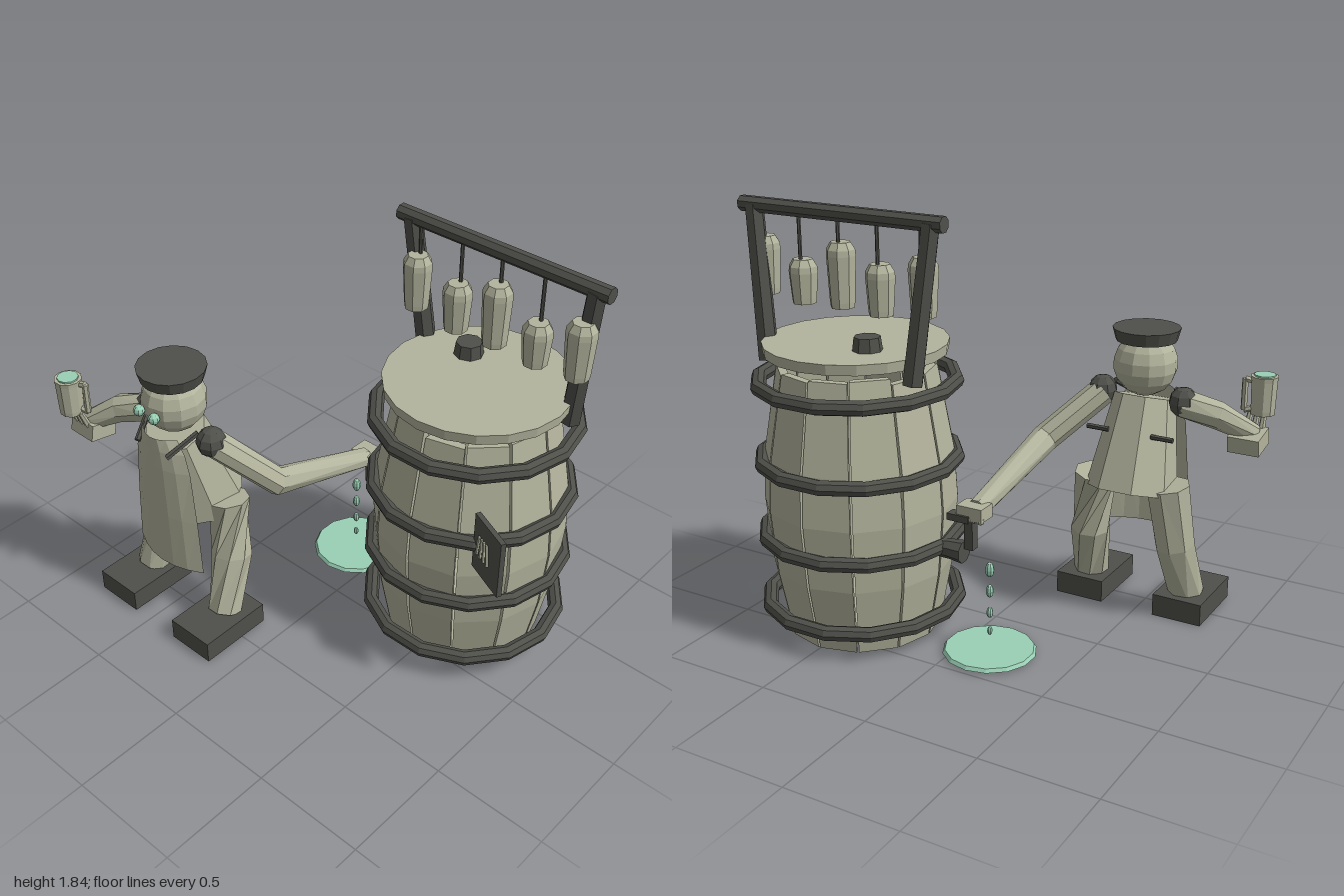
import * as THREE from 'three';

const V = (x, y, z) => new THREE.Vector3(x, y, z);
const mat = (name, color) => Object.assign(new THREE.MeshStandardMaterial({ color, flatShading: true }), { name });

// Closed solid from matching cross-sections, each counterclockwise about the path
function loft(rings) {
  const n = rings[0].length, pos = [], idx = [], last = (rings.length - 1) * n;
  rings.flat().forEach(p => pos.push(p.x, p.y, p.z));
  for (let i = 0; i < last; i += n) for (let j = 0; j < n; j++) {
    const a = i + j, b = i + (j + 1) % n;
    idx.push(a, b, b + n, a, b + n, a + n);
  }
  for (let j = 1; j < n - 1; j++) idx.push(0, j + 1, j, last, last + j, last + j + 1);
  const g = new THREE.BufferGeometry();
  g.setAttribute('position', new THREE.Float32BufferAttribute(pos, 3));
  g.setIndex(idx);
  const flat = g.toNonIndexed();
  flat.computeVertexNormals();
  return flat;
}

// Faceted limb or rod through points, with one radius per point
function rod(points, radii, sides = 8) {
  return loft(points.map((p, i) => {
    const dir = points[Math.min(i + 1, points.length - 1)].clone().sub(points[Math.max(i - 1, 0)]).normalize();
    const q = new THREE.Quaternion().setFromUnitVectors(V(0, 1, 0), dir);
    return Array.from({ length: sides }, (_, k) => {
      const t = (k + 0.5) / sides * Math.PI * 2;
      return V(Math.sin(t) * radii[i], 0, Math.cos(t) * radii[i]).applyQuaternion(q).add(p);
    });
  }));
}

export function createModel() {
  const model = new THREE.Group();
  const tan = mat('pale wood', 0xb3b49d), dark = mat('dark iron', 0x4f504a), mint = mat('mint liquid', 0x9ad0b5);
  const cloth = tan.clone();
  cloth.name = 'apron cloth';
  cloth.side = THREE.DoubleSide;
  const add = (parent, name, geo, material, x = 0, y = 0, z = 0) => {
    const m = new THREE.Mesh(geo, material);
    m.name = name;
    m.position.set(x, y, z);
    parent.add(m);
    return m;
  };
  const group = (name, x = 0, y = 0, z = 0) => {
    const g = new THREE.Group();
    g.name = name;
    g.position.set(x, y, z);
    model.add(g);
    return g;
  };
  const box = (w, h, d) => new THREE.BoxGeometry(w, h, d);
  const cyl = (rt, rb, h, n) => new THREE.CylinderGeometry(rt, rb, h, n);
  const ball = (r, w = 8, h = 6) => new THREE.SphereGeometry(r, w, h);

  // Barrel of twelve bulging staves with slightly uneven tops
  const barrel = group('barrel', 0.505, 0, -0.285);
  for (let i = 0; i < 12; i++) {
    const top = 1.165 + 0.025 * ((i * 5) % 4) / 3;
    const a0 = (i + 0.025) * Math.PI / 6, a1 = (i + 0.975) * Math.PI / 6;
    const profile = [[0, 0.335], [0.3, 0.392], [0.58, 0.415], [0.8, 0.402], [top, 0.335]];
    add(barrel, 'stave', loft(profile.map(([y, r]) =>
      [[a0, r], [a1, r], [a1, r - 0.035], [a0, r - 0.035]].map(([a, s]) => V(Math.sin(a) * s, y, Math.cos(a) * s)))), tan);
  }
  add(barrel, 'barrelBottom', cyl(0.31, 0.3, 0.03, 12), tan, 0, 0.035, 0);
  for (const y of [0.125, 0.437, 0.77, 1.108])
    add(barrel, 'hoop', new THREE.TorusGeometry(0.417, 0.033, 8, 14), dark, 0, y, 0).rotation.x = Math.PI / 2;
  add(barrel, 'lid', cyl(0.39, 0.385, 0.045, 20), tan, 0, 1.253, 0);
  add(barrel, 'bung', cyl(0.055, 0.063, 0.06, 8), dark, -0.14, 1.303, -0.115);

  // Tally board leaning off the barrel side
  const board = group('tallyBoard', 0.867, 0.795, 0.08);
  board.rotation.y = -0.43;
  add(board, 'board', box(0.205, 0.27, 0.022), dark);
  for (let i = 0; i < 4; i++)
    add(board, 'tallyMark', box(0.01, 0.1, 0.008), tan, -0.06 + i * 0.023, 0.005, 0.015).rotation.z = (i - 1.5) * 0.09;

  // Rack with hanging tankards
  const rack = group('rack');
  add(rack, 'beam', rod([V(0.012, 1.81, -0.37), V(0.998, 1.81, -0.37)], [0.034, 0.034], 8), dark);
  for (const [b, t] of [[0.138, 0.073], [0.86, 0.935]])
    add(rack, 'rackPost', rod([V(b, 1.17, -0.42), V(t, 1.81, -0.37)], [0.045, 0.04], 6), dark);
  const mugs = [[0.13, 1.43, 1.67], [0.335, 1.41, 1.62], [0.525, 1.42, 1.69], [0.72, 1.415, 1.6], [0.91, 1.435, 1.68]];
  for (const [x, lo, hi] of mugs) {
    const ys = [lo, lo + 0.025, hi - 0.055, hi - 0.03, hi];
    add(rack, 'hangingTankard', rod(ys.map(y => V(x, y, -0.34)), [0.05, 0.053, 0.062, 0.06, 0.042]), tan);
    add(rack, 'hook', cyl(0.008, 0.008, 1.81 - hi, 6), dark, x, (1.81 + hi) / 2, -0.355);
  }

  // Tap, drips and puddle
  const tap = group('tap');
  add(tap, 'spout', rod([V(-0.015, 0.432, -0.29), V(0.05, 0.432, -0.29), V(0.14, 0.425, -0.29)], [0.05, 0.043, 0.036], 8), dark);
  add(tap, 'tapHandle', box(0.04, 0.15, 0.04), dark, -0.047, 0.53, -0.29);
  add(tap, 'tapCrossbar', box(0.1, 0.03, 0.05), dark, 0.0, 0.59, -0.295);
  for (const [y, h] of [[0.38, 0.034], [0.283, 0.029], [0.185, 0.025], [0.1, 0.02]])
    add(tap, 'drop', ball(1), mint, -0.138, y, -0.29).scale.set(h * 0.58, h, h * 0.58);
  add(tap, 'puddle', cyl(0.19, 0.2, 0.015, 14), mint, -0.137, 0.017, -0.29);

  // Keeper's body, head and hat
  const keeper = group('keeper');
  const cx = -0.465;
  add(keeper, 'torso', rod([V(cx, 0.57, 0.375), V(cx, 0.97, 0.49)], [0.2, 0.135], 8), tan);
  add(keeper, 'head', ball(0.14, 12, 9), tan, cx, 1.12, 0.48);
  add(keeper, 'hat', cyl(0.147, 0.132, 0.055, 16), dark, cx, 1.253, 0.48);

  // Curved apron panel, a curved sheet narrowing to the neck
  const apron = new THREE.PlaneGeometry(2, 1, 6, 4), p = apron.attributes.position;
  const rows = [[1.0, 0.1], [0.94, 0.14], [0.85, 0.163], [0.6, 0.185], [0.33, 0.2]];
  for (let i = 0; i < p.count; i++) {
    const u = p.getX(i), [y, hw] = rows[Math.round((0.5 - p.getY(i)) * 4)];
    p.setXYZ(i, u * hw, y, 0.625 - 0.06 * u * u);
  }
  apron.computeVertexNormals();
  add(keeper, 'apron', apron, cloth, cx, 0, 0);

  // Mirrored eyes, straps, shoulders, legs and shoes
  for (const s of [-1, 1]) {
    const at = (x, y, z) => V(cx + s * x, y, z);
    add(keeper, 'eye', ball(0.025), mint, cx + s * 0.045, 1.115, 0.63);
    add(keeper, 'apronStrap', rod([at(0.09, 0.935, 0.62), at(0.145, 1.02, 0.49)], [0.013, 0.013], 6), dark);
    add(keeper, 'apronTie', rod([at(0.1, 0.845, 0.335), at(0.2, 0.845, 0.335)], [0.012, 0.012], 6), dark);
    add(keeper, 'shoulder', ball(0.066, 8, 6), dark, cx + s * 0.19, 0.98, 0.46);
    add(keeper, 'leg', rod([at(0.17, 0.625, 0.375), at(0.205, 0.35, 0.4), at(0.235, 0.09, 0.485)], [0.098, 0.09, 0.078], 8), tan);
    add(keeper, 'shoe', box(0.226, 0.1, 0.34), dark, cx + s * 0.238, 0.05, 0.535);
  }

  // Left arm reaching to the tap, right arm holding a tankard
  add(keeper, 'leftArm', rod([V(-0.28, 0.975, 0.455), V(-0.085, 0.77, 0.28), V(-0.05, 0.615, -0.24)], [0.062, 0.062, 0.045], 8), tan);
  add(keeper, 'leftHand', box(0.12, 0.06, 0.09), tan, -0.05, 0.615, -0.265);
  for (let i = 0; i < 4; i++) add(keeper, 'leftFinger', ball(0.017), tan, -0.098 + i * 0.036, 0.59, -0.295);
  add(keeper, 'rightArm', rod([V(-0.65, 0.975, 0.46), V(-0.79, 0.93, 0.51), V(-0.93, 0.84, 0.6)], [0.065, 0.062, 0.042], 8), tan);
  add(keeper, 'rightHand', box(0.14, 0.075, 0.13), tan, -0.91, 0.82, 0.575).rotation.x = -0.2;
  for (let i = 0; i < 3; i++)
    add(keeper, 'rightFinger', rod([V(-0.95 + i * 0.035, 0.84, 0.62), V(-0.95 + i * 0.03, 0.93, 0.65)], [0.015, 0.012], 6), tan);

  // Full tankard
  const mug = group('fullTankard', -0.94, 0, 0.655);
  add(mug, 'tankardBody', rod([0.92, 0.94, 1.07, 1.09].map(y => V(0, y, 0)), [0.052, 0.054, 0.058, 0.06], 10), tan);
  add(mug, 'tankardDrink', cyl(0.046, 0.046, 0.008, 10), mint, 0, 1.093, 0);
  const grip = [V(0.04, 1.065, -0.02), V(0.075, 1.075, -0.03), V(0.075, 0.935, -0.03), V(0.04, 0.945, -0.02)];
  for (let i = 0; i < 3; i++) add(mug, 'tankardHandle', rod([grip[i], grip[i + 1]], [0.014, 0.014], 6), tan);

  return model;
}
